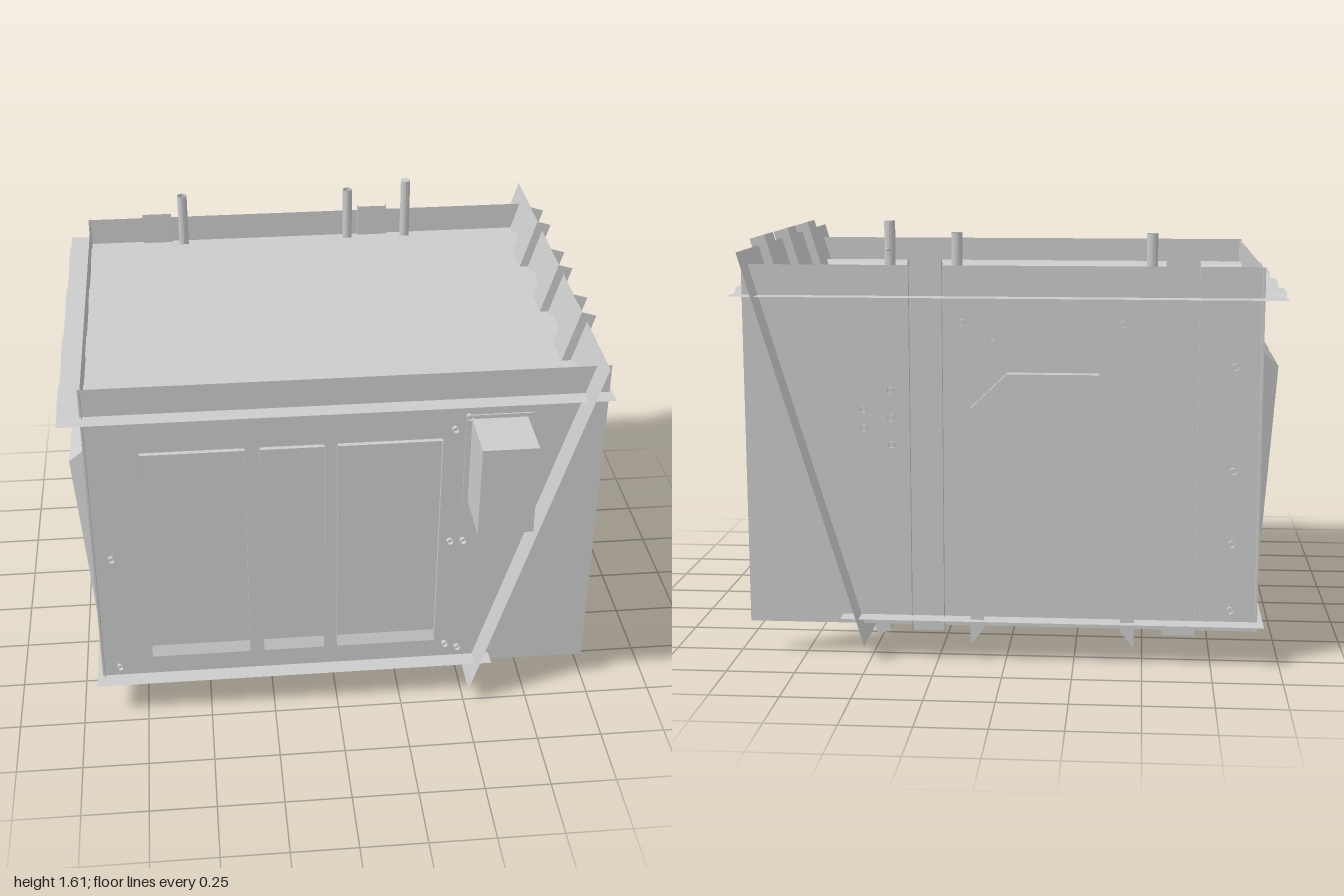
import * as THREE from 'three';

const mat = new THREE.MeshStandardMaterial({ color: 0xcccccc, flatShading: true, side: THREE.DoubleSide });
const FRONT = 0.655, BACK = -0.77;

export function createModel() {
  const model = new THREE.Group();
  const add = (name, geo, x = 0, y = 0, z = 0, parent = model) => {
    const m = new THREE.Mesh(geo, mat);
    m.name = name;
    m.position.set(x, y, z);
    parent.add(m);
    return m;
  };
  // Box given by its limits
  const box = (name, x0, x1, y0, y1, z0, z1) =>
    add(name, new THREE.BoxGeometry(x1 - x0, y1 - y0, z1 - z0), (x0 + x1) / 2, (y0 + y1) / 2, (z0 + z1) / 2);
  // Tube, open at the ends unless capped
  const tube = (name, r, length, x, y, z, open = true) =>
    add(name, new THREE.CylinderGeometry(r, r, length, 12, 1, open), x, y, z);
  // Surface between two rows of corners
  const loft = (a, b, closed = true) => {
    const pos = [], n = a.length;
    for (let i = 0; i < (closed ? n : n - 1); i++) {
      const j = (i + 1) % n;
      pos.push(...a[i], ...a[j], ...b[j], ...a[i], ...b[j], ...b[i]);
    }
    const g = new THREE.BufferGeometry();
    g.setAttribute('position', new THREE.Float32BufferAttribute(pos, 3));
    g.computeVertexNormals();
    return g;
  };
  const quad = (a, b, c, d) => loft([a, b], [d, c], false);
  // Upright sheet metal section, given as x, z pairs
  const upright = (section, y0, y1) =>
    loft(section.map(([x, z]) => [x, y0, z]), section.map(([x, z]) => [x, y1, z]), false);

  // Corrugated roof sheet, with the middles of its rising and falling slopes
  const hi = 1.362, lo = 1.344, profile = [[-0.84, lo]];
  for (const [up, down] of [[-0.707, -0.557], [-0.328, -0.155], [0.07, 0.238], [0.445, 0.612]])
    profile.push([up - 0.014, lo], [up + 0.014, hi], [down - 0.014, hi], [down + 0.014, lo]);
  profile.push([0.72, lo]);
  add('roof', loft(profile.map(([z, y]) => [-1, y, z]), profile.map(([z, y]) => [1, y, z]), false));

  // Floor sheet
  add('floor', quad([-0.94, 0.155, -0.84], [-0.94, 0.155, 0.72], [0.61, 0.155, 0.72], [0.61, 0.155, -0.84]));

  // Front and back walls
  for (const [name, z, x1] of [['frontWall', FRONT, 0.99], ['backWall', BACK, 0.96]])
    add(name, quad([-0.92, 0.12, z], [x1, 0.12, z], [x1, 1.455, z], [-0.92, 1.455, z]));

  // Three doors: thin lips at the top and sides, a sloping sill below
  const lip = FRONT + 0.018;
  for (const [x0, x1, left, right] of [[-0.72, -0.34, 1.06, 0.29], [-0.285, -0.05, 1.09, 0.74], [0, 0.385, 0.29, 0.29]]) {
    const line = [[x0, left], [x0, 1.18], [x1, 1.18], [x1, right]];
    add('doorLip', loft(line.map(p => [...p, FRONT]), line.map(p => [...p, lip]), false));
    add('doorSill', quad([x0, 0.25, lip], [x1, 0.25, lip], [x1, 0.29, FRONT], [x0, 0.29, FRONT]));
  }

  // Equipment box on the front wall
  box('equipmentBoxFlange', 0.47, 0.72, 0.88, 1.275, FRONT, FRONT + 0.006);
  box('equipmentBox', 0.49, 0.695, 0.9, 1.26, FRONT, 0.877);

  // Channel ribs on the back wall, open to the outside
  for (const x of [-0.63, 0.29])
    add('backRib', upright([[x - 0.06, BACK - 0.02], [x - 0.06, BACK + 0.012],
      [x + 0.06, BACK + 0.012], [x + 0.06, BACK - 0.02]], 0.095, 1.475));

  // Chamfered doorway trim
  const arch = (d, y0, z) => [[0.13 - d, y0], [0.13 - d, 0.94 - d * 0.2], [-0.005 - d * 0.4, 1.07 - d * 0.6],
    [-0.335 + d * 0.4, 1.07 - d * 0.6], [-0.47 + d, 0.94 - d * 0.2], [-0.47 + d, y0]].map(p => [...p, z]);
  add('doorwayTrimOuter', loft(arch(0, 0.06, -0.7), arch(0, 0.06, BACK - 0.042), false));
  add('doorwayTrimFace', loft(arch(0, 0.06, BACK - 0.042), arch(0.05, 0.12, BACK - 0.042), false));

  // Left wall with three tapered bulging panels
  const LX = -0.91;
  add('leftWall', quad([LX, 0.12, -0.8], [LX, 0.12, 0.69], [LX, 1.455, 0.69], [LX, 1.455, -0.8]));
  for (const z of [-0.5, -0.06, 0.37]) {
    const base = [[LX, 0.24, z - 0.2], [LX, 0.24, z + 0.2], [LX, 1.16, z + 0.2], [LX, 1.16, z - 0.2]];
    const face = [[LX - 0.01, 0.26, z - 0.175], [LX - 0.01, 0.26, z + 0.175],
      [-0.98, 1.09, z + 0.175], [-0.98, 1.09, z - 0.175]];
    add('leftPanelSides', loft(base, face));
    add('leftPanelFace', quad(...face));
  }

  // Slanted right wall, with channel ribs through it, open to the outside
  const slant = new THREE.Group();
  slant.name = 'slantedWall';
  slant.position.set(0.7325, 0.785, 0);
  slant.rotation.z = -Math.atan2(0.435, 1.44);
  model.add(slant);
  const h = Math.hypot(0.435, 1.44) / 2;
  add('slantedSheet', quad([0, -h, 0.77], [0, -h, -0.88], [0, h, -0.88], [0, h, 0.77]), 0, 0, 0, slant);
  for (const z of [0.34, -0.055, -0.458])
    add('slantedRib', upright([[0.025, z - 0.0725], [-0.033, z - 0.0725],
      [-0.033, z + 0.0725], [0.025, z + 0.0725]], -h - 0.06, h + 0.032), 0, 0, 0, slant);

  // Posts along the rear edge of the roof
  for (const [x, top, z] of [[-0.52, 1.57, -0.728], [0.18, 1.57, -0.728]])
    tube('roofPost', 0.02, top - 1.3, x, (top + 1.3) / 2, z);
  tube('tallRoofPost', 0.02, 0.31, 0.425, 1.455, -0.712, false);
  box('postBracket', 0.422, 0.428, 1.505, 1.513, -0.79, -0.73);

  // Short pipes beside the slanted wall
  for (const [x, y, z] of [[0.79, 0.91, -0.7], [0.82, 0.84, -0.7], [0.84, 0.81, 0.6]])
    tube('pipe', 0.02, 0.14, x, y, z).rotation.z = Math.PI / 2;

  // Bolt sleeves on the front and back walls
  const bolt = (x, y, z) => { tube('boltSleeve', 0.012, 0.03, x, y, z).rotation.x = Math.PI / 2; };
  for (const [x, y] of [[-0.85, 0.2], [-0.85, 0.72], [0.43, 0.22], [0.48, 0.2], [0.43, 0.72], [0.48, 0.72], [0.43, 1.22], [0.48, 1.27]])
    bolt(x, y, FRONT);
  for (const [x, y] of [[-0.82, 0.2], [-0.82, 0.45], [-0.82, 0.72], [-0.82, 1.1], [0.42, 0.8], [0.42, 0.9], [0.42, 1.0],
    [0.52, 0.86], [0.52, 0.93], [0.16, 1.25], [0.05, 1.2], [-0.42, 1.25]])
    bolt(x, y, BACK);

  return model;
}
